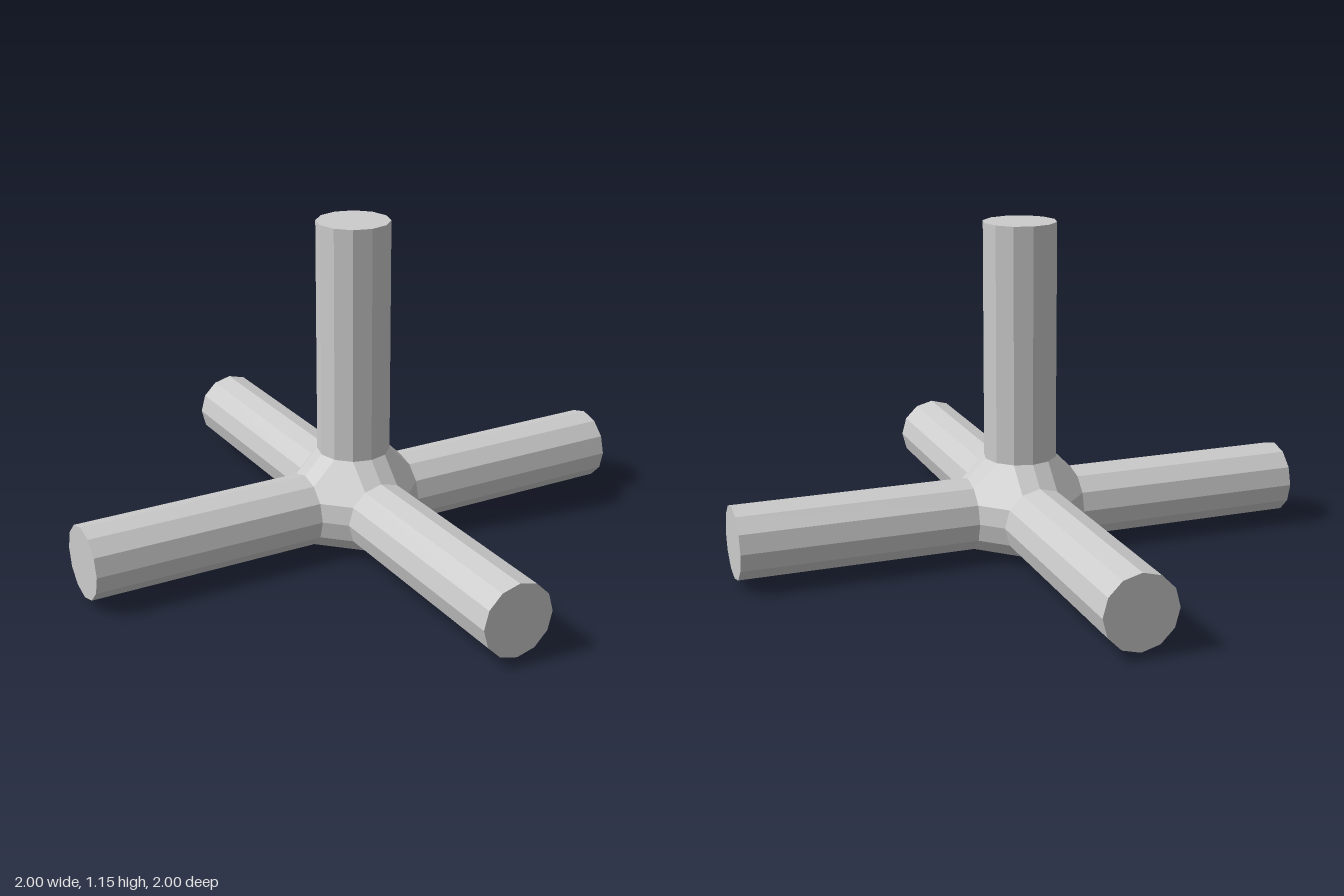
import * as THREE from 'three';
import { ConvexGeometry } from 'three/addons/geometries/ConvexGeometry.js';

const RADIUS = 0.125, SIDES = 12;
const CENTER_Y = 0.148;      // height of the arm axes
const START = 0.19, END = 1; // arm extent, measured from the hub centre

// Circle of points around an axis direction, at a given distance along it
function ring(direction, distance, radius) {
  const turn = new THREE.Quaternion().setFromUnitVectors(new THREE.Vector3(0, 1, 0), direction);
  return Array.from({ length: SIDES }, (_, i) => {
    const a = (i / SIDES) * Math.PI * 2;
    return new THREE.Vector3(Math.sin(a) * radius, distance, Math.cos(a) * radius).applyQuaternion(turn);
  });
}

export function createModel() {
  const model = new THREE.Group();
  model.name = 'fiveWayPipeJoint';
  const material = new THREE.MeshStandardMaterial({ color: 0xcccccc, flatShading: true });

  const arms = {
    leftArm: new THREE.Vector3(1, 0, 0),
    rightArm: new THREE.Vector3(-1, 0, 0),
    frontArm: new THREE.Vector3(0, 0, 1),
    backArm: new THREE.Vector3(0, 0, -1),
    upperPost: new THREE.Vector3(0, 1, 0),
  };

  // Faceted hub: hull of the arm mouths and a small flat foot
  const hubPoints = ring(new THREE.Vector3(0, 1, 0), -CENTER_Y, 0.08);

  // Four horizontal arms and the upright post
  const armGeometry = new THREE.CylinderGeometry(RADIUS, RADIUS, END - START, SIDES);
  for (const [name, direction] of Object.entries(arms)) {
    const arm = new THREE.Mesh(armGeometry, material);
    arm.name = name;
    arm.quaternion.setFromUnitVectors(new THREE.Vector3(0, 1, 0), direction);
    arm.position.copy(direction).multiplyScalar((START + END) / 2);
    arm.position.y += CENTER_Y;
    model.add(arm);
    hubPoints.push(...ring(direction, START, RADIUS));
  }

  const hub = new THREE.Mesh(new ConvexGeometry(hubPoints), material);
  hub.name = 'hub';
  hub.position.y = CENTER_Y;
  model.add(hub);

  return model;
}
